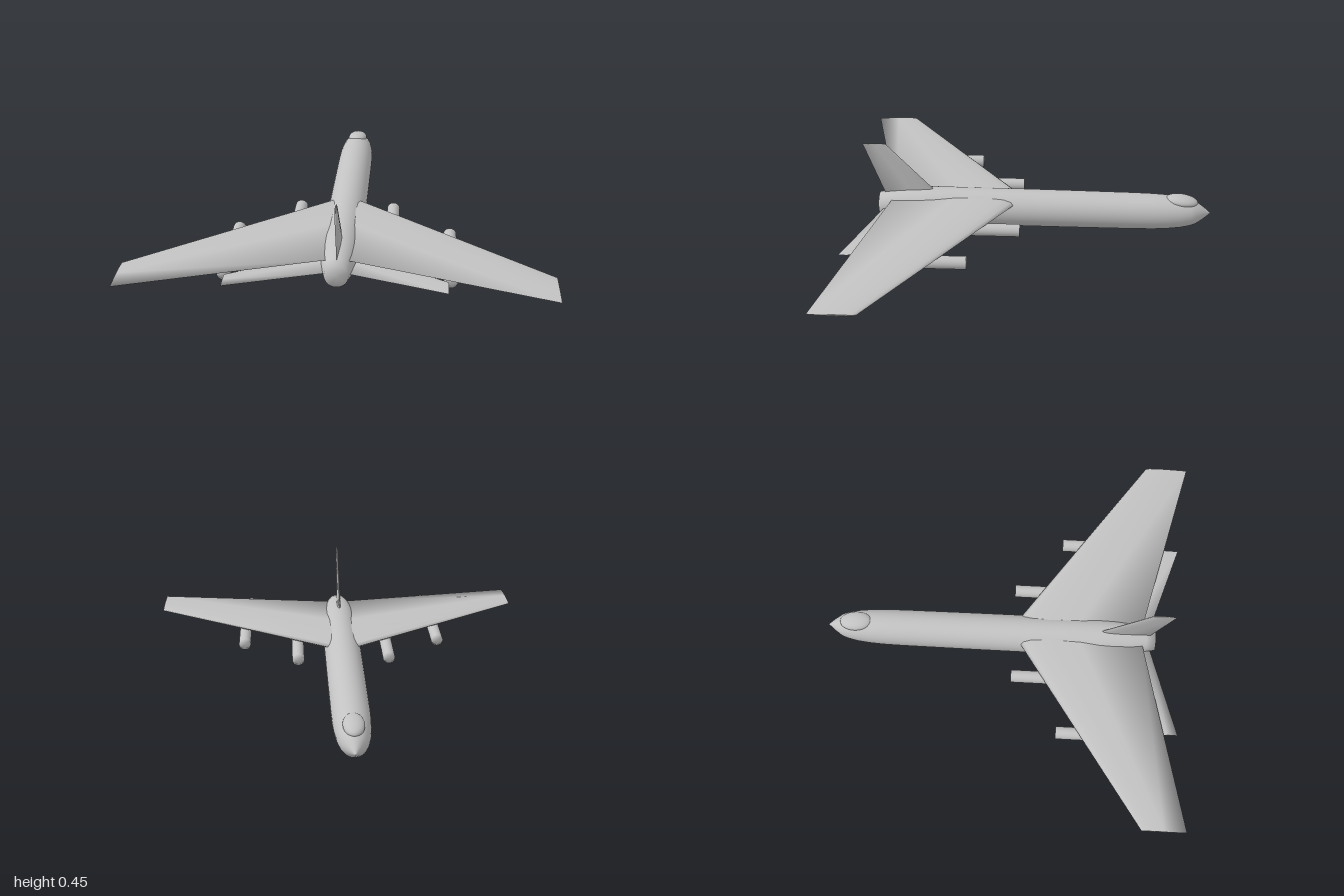
import * as THREE from 'three';

// Chord positions along each side, from the nose (0) to the trailing edge (1)
const CHORD = [0, 0.03, 0.1, 0.25, 0.5, 1];

// Aerofoil loop: trailing edge, over the top to the nose, back underneath.
function aerofoil({ span, offset, lead, trail, half }) {
  const point = (u, sign) => {
    const shape = 2 * (1.4845 * Math.sqrt(u) - 0.63 * u - 1.758 * u * u + 1.4215 * u ** 3 - 0.518 * u ** 4);
    return [span, offset + sign * half * shape, lead + (trail - lead) * u];
  };
  const top = CHORD.slice(1, -1).reverse().map((u) => point(u, 1));
  const under = CHORD.slice(1, -1).map((u) => point(u, -1));
  return [[span, offset, trail], ...top, [span, offset, lead], ...under];
}

// Skin a row of aerofoils, given in order of growing span, and close both ends.
function loft(sections) {
  const loops = sections.map(aerofoil);
  const n = loops[0].length;
  const index = [];
  for (let s = 0; s < loops.length - 1; s++) {
    for (let i = 0; i < n; i++) {
      const a = s * n + i, b = s * n + ((i + 1) % n);
      index.push(a, a + n, b, b, a + n, b + n);
    }
  }
  const last = (loops.length - 1) * n;
  for (let i = 1; i < n - 1; i++) {
    index.push(0, i, i + 1);
    index.push(last, last + i + 1, last + i);
  }
  const geo = new THREE.BufferGeometry();
  geo.setAttribute('position', new THREE.Float32BufferAttribute(loops.flat(2), 3));
  geo.setIndex(index);
  geo.computeVertexNormals(); // shared corners keep the shading soft round the edges
  return geo;
}

// Full-span surface: right tip, centre line and left tip.
function fullSpan(root, tip) {
  return loft([{ ...tip, span: -tip.span }, root, tip]);
}

// Round body along z from pairs of radius and z
function turned(profile, sides) {
  const points = profile.map(([r, z]) => new THREE.Vector2(r, z));
  return new THREE.LatheGeometry(points, sides).rotateX(Math.PI / 2);
}

export function createModel() {
  const model = new THREE.Group();
  model.name = 'jetAircraft';
  const grey = new THREE.MeshStandardMaterial({ color: 0xc2c2c2 });
  grey.name = 'plain grey';

  const add = (name, geometry) => {
    const mesh = new THREE.Mesh(geometry, grey);
    mesh.name = name;
    model.add(mesh);
    return mesh;
  };

  // Fuselage: nose towards -z, axis rising slightly aft
  const body = turned([
    [0, -0.946], [0.03, -0.91], [0.058, -0.87], [0.069, -0.84], [0.08, -0.79], [0.088, -0.72],
    [0.092, -0.65], [0.094, -0.55], [0.096, -0.2], [0.097, 0.2], [0.096, 0.48],
    [0.091, 0.56], [0.081, 0.65], [0.068, 0.72], [0.056, 0.77], [0, 0.771],
  ], 40);
  const pos = body.attributes.position;
  for (let i = 0; i < pos.count; i++) {
    const z = pos.getZ(i);
    pos.setY(i, pos.getY(i) + 0.1 + 0.007 * z + 0.006 * Math.max(0, (z - 0.45) / 0.32));
  }
  add('fuselage', body);

  // Cockpit canopy, leaning down towards the nose
  const canopy = add('canopy', new THREE.SphereGeometry(1, 28, 18));
  canopy.scale.set(0.051, 0.03, 0.085);
  canopy.position.set(0, 0.162, -0.793);
  canopy.rotation.x = -0.13;

  // Swept main wing
  add('wings', fullSpan(
    { span: 0, offset: 0.158, lead: 0.015, trail: 0.688, half: 0.028 },
    { span: 1, offset: 0.113, lead: 0.712, trail: 0.937, half: 0.008 },
  ));

  // Thin swept tailplane below the wing
  add('tailplane', fullSpan(
    { span: 0, offset: 0.11, lead: 0.5, trail: 0.725, half: 0.007 },
    { span: 0.51, offset: 0.11, lead: 0.785, trail: 0.89, half: 0.005 },
  ));

  // Upright fin
  add('tailFin', loft([
    { span: 0.13, offset: 0, lead: 0.425, trail: 0.726, half: 0.012 },
    { span: 0.452, offset: 0, lead: 0.722, trail: 0.84, half: 0.005 },
  ]).rotateZ(Math.PI / 2));

  // Long engine nacelles under the wings
  const engines = [
    { name: 'Inner', x: 0.237, y: 0.104, front: 0.028, back: 0.63 },
    { name: 'Outer', x: 0.522, y: 0.09, front: 0.27, back: 0.745 },
  ];
  for (const side of [1, -1]) {
    for (const { name, x, y, front, back } of engines) {
      const tube = turned([[0, front], [0.032, front], [0.032, back], [0, back]], 24);
      add((side > 0 ? 'left' : 'right') + name + 'Engine', tube).position.set(side * x, y, 0);
    }
  }
  return model;
}
